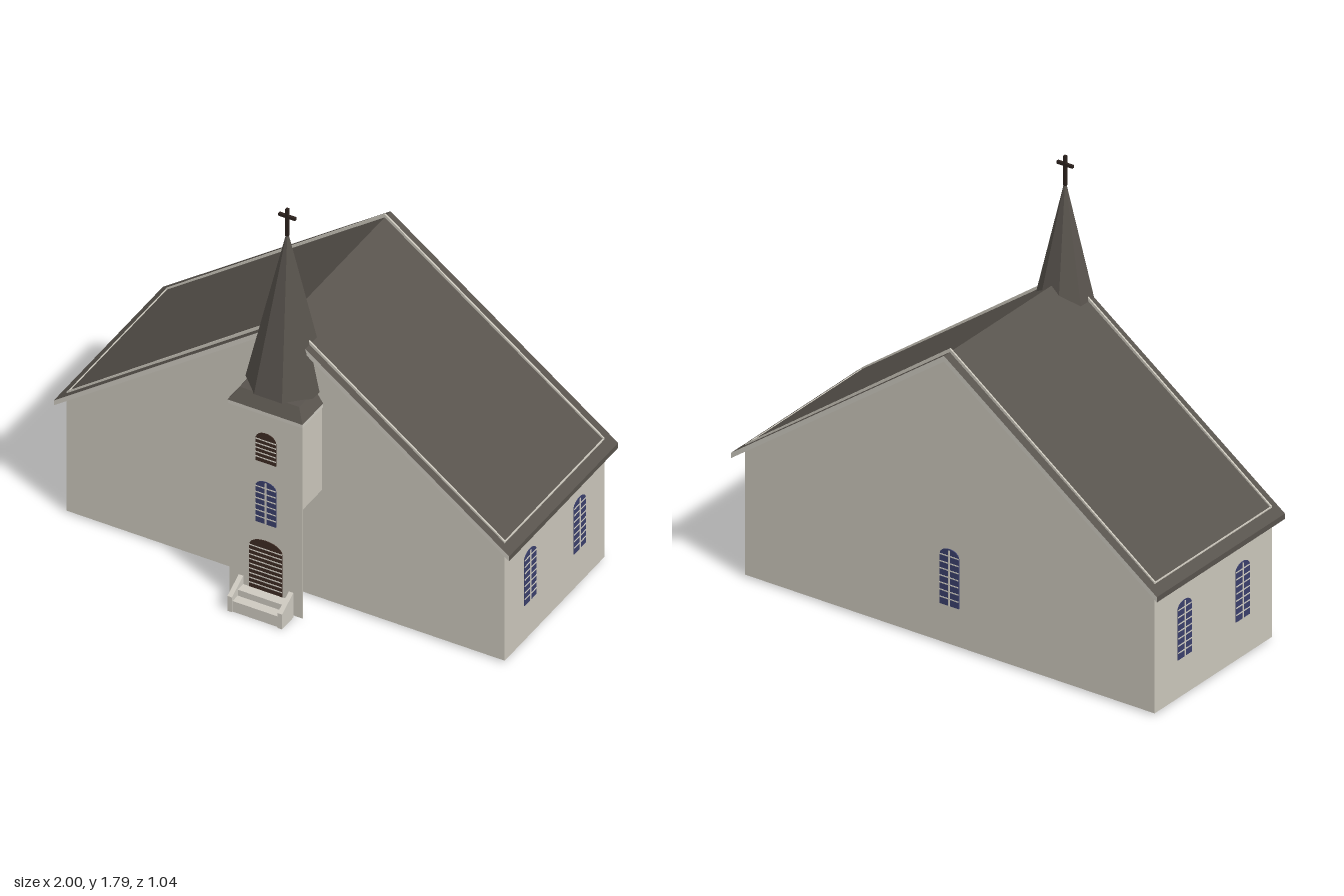
import * as THREE from 'three';

const mat = (name, color) => {
  const m = new THREE.MeshStandardMaterial({ color });
  m.name = name;
  return m;
};

export function createModel() {
  const root = new THREE.Group();
  root.name = 'church';
  const wall = mat('pale brick', 0xc9c5ba);
  const trim = mat('pale trim', 0xcdc9c0);
  const slate = mat('slate', 0x58534d);
  const glass = mat('blue glass', 0x3a3f6c);
  const wood = mat('dark wood', 0x3d2b23);
  const iron = mat('dark iron', 0x2b211d);

  const add = (name, geo, material, parent = root) => {
    const m = new THREE.Mesh(geo, material);
    m.name = name;
    parent.add(m);
    return m;
  };
  // box given by its minimum and maximum corners
  const box = (name, material, x0, x1, y0, y1, z0, z1, parent = root) => {
    const m = add(name, new THREE.BoxGeometry(x1 - x0, y1 - y0, z1 - z0), material, parent);
    m.position.set((x0 + x1) / 2, (y0 + y1) / 2, (z0 + z1) / 2);
    return m;
  };
  const extrude = (pts, depth) => new THREE.ExtrudeGeometry(
    new THREE.Shape(pts.map(([x, y]) => new THREE.Vector2(x, y))), { depth, bevelEnabled: false });

  // Gable walls and side walls, open underneath, rising just above the slates
  const gable = [[-0.962, 0.01], [0.962, 0.01], [0.962, 0.575], [0, 1.285], [-0.962, 0.575]];
  add('frontWall', extrude(gable, 0.007), wall).position.z = 0.276;
  add('backWall', extrude(gable, 0.007), wall).position.z = -0.482;
  for (const s of [-1, 1]) {
    box('sideWall', wall, s * 0.959 - 0.003, s * 0.959 + 0.003, 0.01, 0.572, -0.478, 0.28);
  }

  // Roof slab with pale verge ends
  const roof = [[-1, 0.517], [0, 1.245], [1, 0.517], [1, 0.54], [0, 1.27], [-1, 0.54]];
  add('roof', extrude(roof, 0.835), [trim, slate]).position.z = -0.52;

  // Tower front sheet, upper cheeks and cornice
  box('towerFront', wall, -0.16, 0.16, 0.01, 0.93, 0.428, 0.433);
  for (const s of [-1, 1]) {
    box('towerSide', wall, s * 0.157 - 0.003, s * 0.157 + 0.003, 0.525, 0.935, 0.25, 0.43);
  }
  box('towerCornice', trim, -0.163, 0.163, 0.918, 0.938, 0.28, 0.439);

  // Sloped skirt under the spire
  const skirt = new THREE.BoxGeometry(0.33, 0.05, 0.17).toNonIndexed();
  const p = skirt.attributes.position;
  for (let i = 0; i < p.count; i++) {
    if (p.getY(i) < 0) continue;
    p.setX(i, p.getX(i) * 0.79);
    if (p.getZ(i) > 0) p.setZ(i, p.getZ(i) - 0.035);
  }
  skirt.computeVertexNormals();
  add('spireSkirt', skirt, slate).position.set(0, 0.962, 0.357);

  // Eight-sided spire
  const spire = new THREE.CylinderGeometry(0.003, 0.161, 0.695, 8).rotateY(Math.PI / 8).toNonIndexed();
  spire.computeVertexNormals();
  add('spire', spire, slate).position.set(0, 1.3325, 0.27);

  // Cross
  box('crossPost', iron, -0.006, 0.006, 1.665, 1.793, 0.264, 0.276);
  box('crossArm', iron, -0.037, 0.037, 1.75, 1.762, 0.264, 0.276);

  // Arched panel standing on its origin and facing +z, with glazing bars or slat lines
  const opening = (name, material, w, h, rise, rows, mullion) => {
    const g = new THREE.Group();
    g.name = name;
    const spring = h - rise;
    const s = new THREE.Shape();
    s.moveTo(-w / 2, 0);
    s.lineTo(w / 2, 0);
    s.lineTo(w / 2, spring);
    s.absellipse(0, spring, w / 2, rise, 0, Math.PI, false);
    const geo = new THREE.ExtrudeGeometry(s, { depth: 0.009, bevelEnabled: false, curveSegments: 6 });
    add(name + 'Panel', geo, material, g).position.z = -0.004;
    for (let i = 1; i <= rows; i++) {
      const y = (spring * i) / rows;
      box('bar', trim, -w / 2, w / 2, y - 0.0022, y + 0.0022, 0.004, 0.007, g);
    }
    if (mullion) box('mullion', trim, -0.003, 0.003, 0, h - 0.005, 0.004, 0.007, g);
    root.add(g);
    return g;
  };

  // Tower openings
  opening('door', wood, 0.145, 0.24, 0.04, 9, false).position.set(0, 0.08, 0.431);
  opening('towerWindow', glass, 0.09, 0.2, 0.03, 6, true).position.set(0, 0.4, 0.431);
  opening('louvre', wood, 0.09, 0.14, 0.035, 5, false).position.set(0, 0.69, 0.431);

  // Two windows on each side and one at the back
  for (const s of [-1, 1]) {
    for (const z of [0.09, -0.288]) {
      const w = opening('sideWindow', glass, 0.09, 0.245, 0.03, 7, true);
      w.position.set(s * 0.96, 0.175, z);
      w.rotation.y = (s * Math.PI) / 2;
    }
  }
  const back = opening('backWindow', glass, 0.09, 0.245, 0.03, 7, true);
  back.position.set(0, 0.175, -0.481);
  back.rotation.y = Math.PI;

  // Entrance steps between sloped cheeks
  box('lowerStep', trim, -0.1, 0.1, 0, 0.05, 0.433, 0.515);
  box('upperStep', trim, -0.1, 0.1, 0.05, 0.078, 0.433, 0.475);
  const cheek = [[-0.52, 0], [-0.433, 0], [-0.433, 0.117], [-0.52, 0.07]];
  for (const x of [-0.12, 0.1]) {
    const c = add('stepCheek', extrude(cheek, 0.02), trim);
    c.rotation.y = Math.PI / 2;
    c.position.x = x;
  }
  return root;
}
